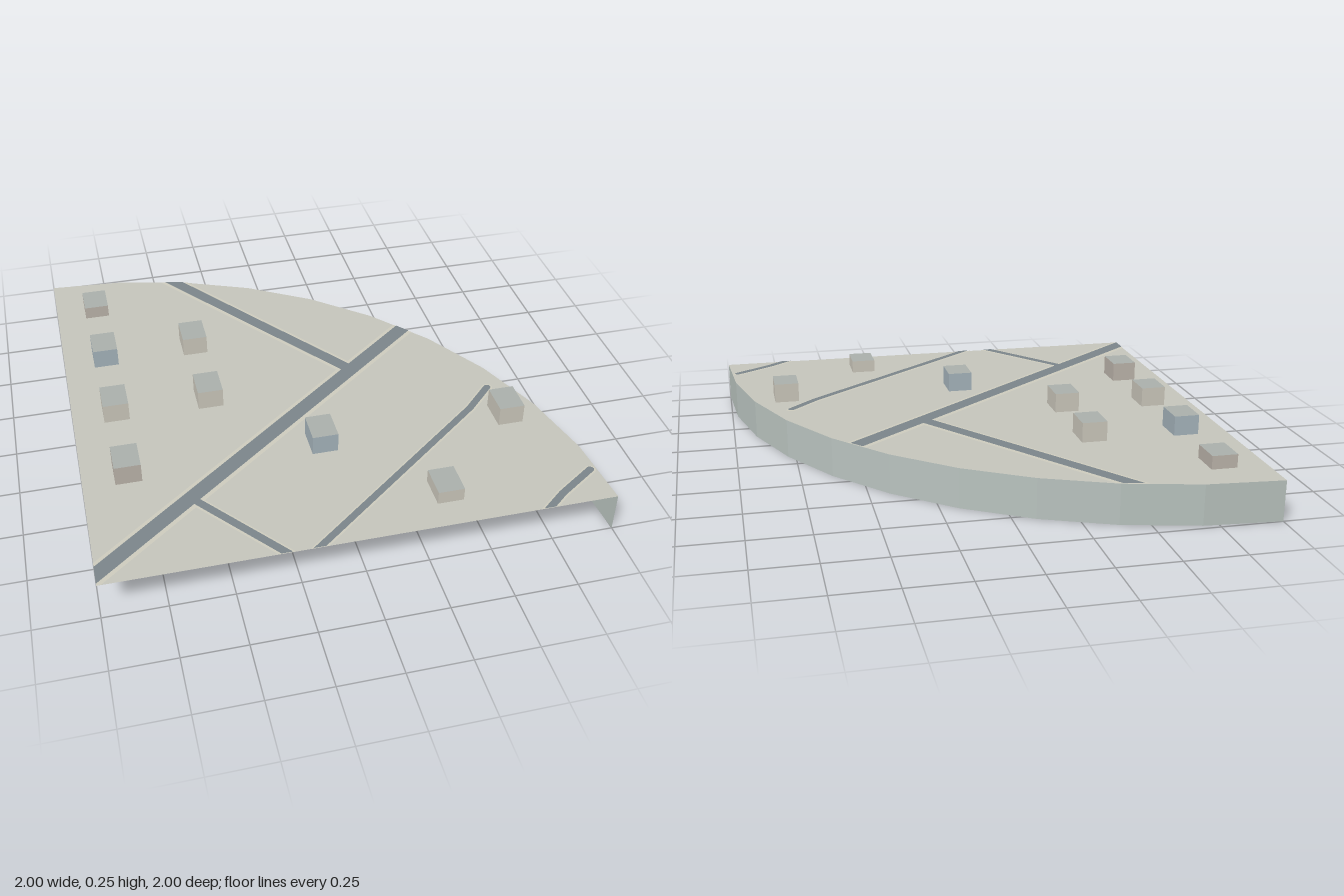
import * as THREE from 'three';
import { mergeGeometries } from 'three/addons/utils/BufferGeometryUtils.js';

const TOP = 0.167, R = 2, SEG = 10;
const mat = (color, side = THREE.FrontSide) => new THREE.MeshStandardMaterial({ color, side, flatShading: true });

// Plan outline of the quarter disc, anticlockwise, in (x, -z)
const sector = [new THREE.Vector2(-1, -1)];
for (let i = SEG; i >= 0; i--) {
  const a = (i / SEG) * Math.PI / 2;
  sector.push(new THREE.Vector2(-1 + R * Math.sin(a), -1 + R * Math.cos(a)));
}

// Clips a plan polygon to the convex quarter disc
function clipToSector(poly) {
  sector.forEach((a, i) => {
    const edge = sector[(i + 1) % sector.length].clone().sub(a);
    const dist = p => edge.cross(p.clone().sub(a));
    const out = [];
    poly.forEach((p, j) => {
      const q = poly[(j + 1) % poly.length], dp = dist(p), dq = dist(q);
      if (dp >= 0) out.push(p);
      if (dp * dq < 0) out.push(p.clone().lerp(q, dp / (dp - dq)));
    });
    poly = out;
  });
  return poly;
}

// Flat polygon facing up at height y
const flat = (poly, y) => new THREE.ShapeGeometry(new THREE.Shape(poly)).rotateX(-Math.PI / 2).translate(0, y, 0);

// Flat strip with rounded ends and joints along [x, z] points
function strip(points, width, y) {
  const pts = points.map(([x, z]) => new THREE.Vector2(x, -z));
  const parts = [];
  for (let i = 0; i < pts.length - 1; i++) {
    const a = pts[i], b = pts[i + 1], angle = b.clone().sub(a).angle(), poly = [];
    for (const [c, start] of [[b, angle - Math.PI / 2], [a, angle + Math.PI / 2]])
      for (let k = 0; k <= 6; k++) {
        const t = start + k * Math.PI / 6;
        poly.push(new THREE.Vector2(c.x + Math.cos(t) * width / 2, c.y + Math.sin(t) * width / 2));
      }
    parts.push(flat(clipToSector(poly), y));
  }
  return mergeGeometries(parts);
}

export function createModel() {
  const model = new THREE.Group();
  const add = (name, geometry, material, parent = model) => {
    const mesh = new THREE.Mesh(geometry, material);
    mesh.name = name;
    parent.add(mesh);
    return mesh;
  };

  // Ground and curved rim; the straight sides and the bottom are open
  add('ground', flat(sector, TOP), mat(0xc8c8be, THREE.DoubleSide));
  add('rim', new THREE.CylinderGeometry(R, R, TOP, SEG, 1, true, Math.PI / 2, Math.PI / 2)
    .translate(-1, TOP / 2, 1), mat(0xbac4c0, THREE.DoubleSide));

  // Roads with pale verges
  const roads = [
    ['mainRoad', 0.066, [[-1.1, 1.03], [0.65, -0.38]]],
    ['northRoad', 0.055, [[0.2, -0.05], [-0.13, -0.5], [-0.5, -1.01]]],
    ['southRoad', 0.034, [[-0.59, 0.64], [-0.25, 1.07]]],
    ['eastRoad', 0.03, [[-0.27, 1.07], [0.63, 0.35], [0.75, 0.23]]],
    ['cornerRoad', 0.03, [[0.66, 1.05], [0.8, 0.935], [0.96, 0.83]]],
  ];
  const asphalt = mat(0x7d878c), verge = mat(0xd0cec0);
  for (const [name, width, points] of roads) {
    const road = new THREE.Group();
    road.name = name;
    add('verge', strip(points, width * 1.5, TOP + 0.001), verge, road);
    add('asphalt', strip(points, width, TOP + 0.003), asphalt, road);
    model.add(road);
  }

  // Houses on a regular grid: column, row, height, wall colour
  const tan = 0xd0ccc0, blue = 0xa9b8c0, brown = 0xc0b8ae;
  const houses = [
    [0, 0, 0.055, brown], [0, 1, 0.083, blue], [0, 2, 0.083, tan], [0, 3, 0.083, brown],
    [1, 1, 0.083, tan], [1, 2, 0.083, tan], [2, 3, 0.083, blue], [4, 3, 0.083, tan], [3, 4, 0.055, tan],
  ];
  const roof = mat(0xacb2ae);
  for (const [col, row, h, color] of houses) {
    const wall = mat(color);
    const house = add('house', new THREE.BoxGeometry(0.105, h, 0.135), [wall, wall, roof, wall, wall, wall]);
    house.position.set(-0.82 + col * 0.395, TOP + h / 2, -0.77 + row * 0.395);
  }
  return model;
}
